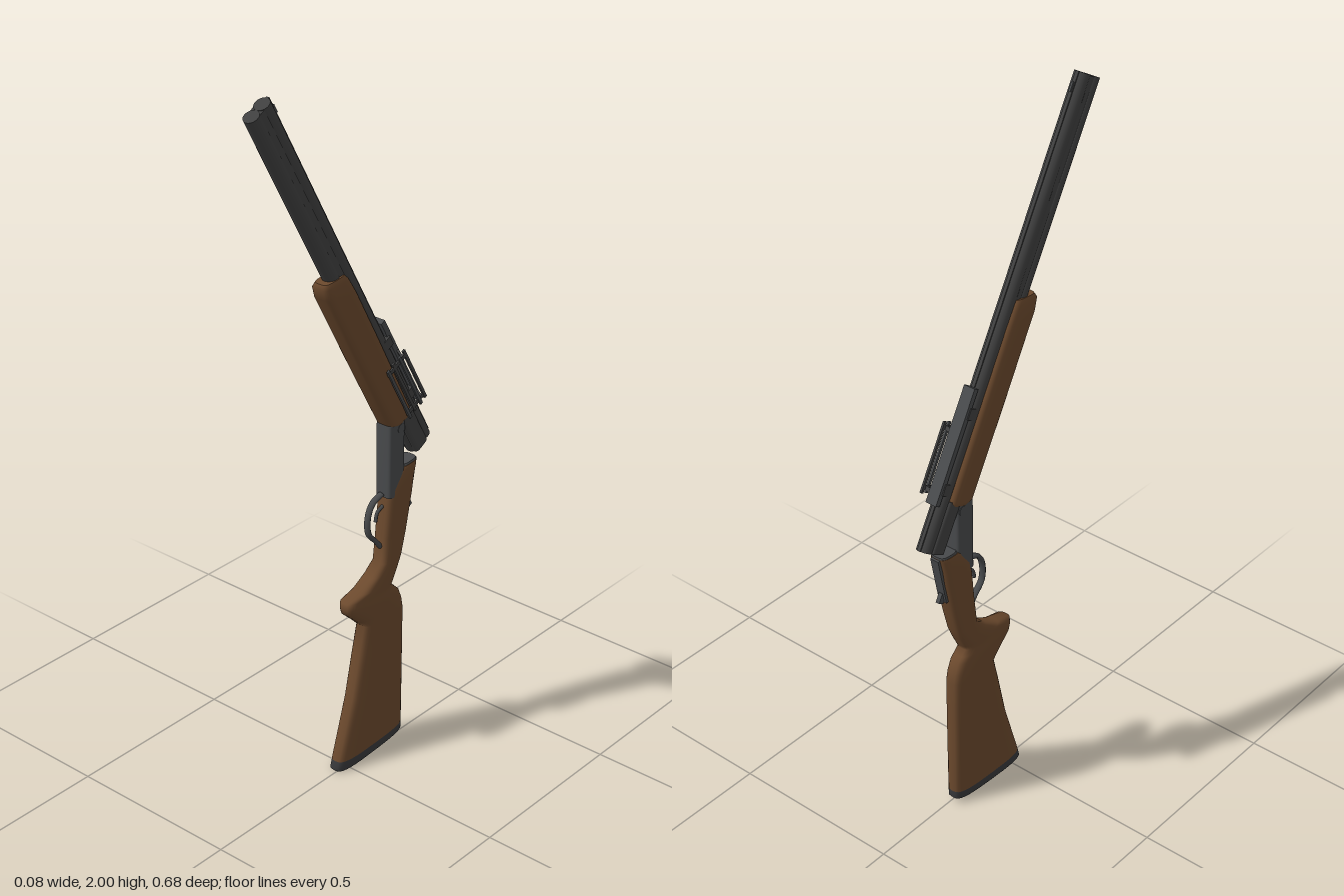
import * as THREE from 'three';

const mat = (name, hex) => {
  const m = new THREE.MeshStandardMaterial({ color: hex });
  m.name = name;
  return m;
};

// Loft of rounded sections, bottom to top: [zFront, yFront, zBack, yBack, halfWidth, exponent]
function loft(sections, n = 32) {
  const pos = [], idx = [];
  const ring = ([zf, yf, zb, yb, w, e = 0.6]) => {
    for (let j = 0; j < n; j++) {
      const t = (j / n) * Math.PI * 2, c = Math.cos(t), s = Math.sin(t);
      const k = Math.sign(c) * Math.abs(c) ** e;
      pos.push(w * Math.sign(s) * Math.abs(s) ** e,
        (yf + yb) / 2 + (k * (yf - yb)) / 2, (zf + zb) / 2 + (k * (zf - zb)) / 2);
    }
  };
  sections.forEach(ring);
  for (let i = 0; i < sections.length - 1; i++) {
    for (let j = 0; j < n; j++) {
      const a = i * n + j, b = i * n + ((j + 1) % n);
      idx.push(a, b, b + n, a, b + n, a + n);
    }
  }
  // flat end caps with their own vertices
  [[sections[0], false], [sections[sections.length - 1], true]].forEach(([s, top]) => {
    const start = pos.length / 3;
    ring(s);
    pos.push(0, (s[1] + s[3]) / 2, (s[0] + s[2]) / 2);
    for (let j = 0; j < n; j++) {
      const a = start + j, b = start + ((j + 1) % n);
      idx.push(start + n, top ? a : b, top ? b : a);
    }
  });
  const g = new THREE.BufferGeometry();
  g.setAttribute('position', new THREE.Float32BufferAttribute(pos, 3));
  g.setIndex(idx);
  g.computeVertexNormals();
  return g;
}

export function createModel() {
  const wood = mat('walnut wood', 0x6b492d);
  const steel = mat('barrel steel', 0x404040);
  const frame = mat('receiver steel', 0x484a4c);
  const rubber = mat('butt rubber', 0x38393b);

  const model = new THREE.Group();
  const body = new THREE.Group();
  body.name = 'gun';
  body.position.x = -0.007;
  model.add(body);

  const add = (parent, name, geo, material, x = 0, y = 0, z = 0) => {
    const m = new THREE.Mesh(geo, material);
    m.name = name;
    m.position.set(x, y, z);
    parent.add(m);
    return m;
  };
  const box = (parent, name, material, w, h, d, x, y, z) =>
    add(parent, name, new THREE.BoxGeometry(w, h, d), material, x, y, z);
  const tube = (parent, name, pts, r, material) => add(parent, name,
    new THREE.TubeGeometry(new THREE.CatmullRomCurve3(pts.map((p) => new THREE.Vector3(...p))), 32, r, 8), material);

  // Butt pad and stock
  add(body, 'buttPad', loft([
    [0.038, 0.004, -0.226, 0.02, 0.028],
    [0.043, 0.009, -0.229, 0.024, 0.031],
    [0.036, 0.034, -0.229, 0.046, 0.031],
  ]), rubber);
  add(body, 'stock', loft([
    [0.036, 0.034, -0.229, 0.046, 0.0315],
    [-0.02, 0.21, -0.229, 0.21, 0.0315],
    [-0.05, 0.34, -0.229, 0.34, 0.031],
    [-0.07, 0.42, -0.228, 0.42, 0.031],
    [-0.045, 0.445, -0.223, 0.45, 0.031],
    [-0.004, 0.483, -0.211, 0.48, 0.031],
    [0.001, 0.50, -0.195, 0.495, 0.03],
    [0.0, 0.52, -0.181, 0.51, 0.029],
    [-0.05, 0.53, -0.188, 0.525, 0.029],
    [-0.10, 0.557, -0.205, 0.56, 0.028],
    [-0.138, 0.585, -0.217, 0.59, 0.028],
    [-0.147, 0.66, -0.236, 0.66, 0.029],
    [-0.158, 0.77, -0.26, 0.77, 0.03],
    [-0.162, 0.80, -0.266, 0.81, 0.03],
    [-0.198, 0.846, -0.275, 0.848, 0.029],
    [-0.206, 0.852, -0.277, 0.857, 0.026],
  ]), wood);

  // Receiver, breech face, tang and top lever
  add(body, 'receiver', loft([
    [-0.156, 0.78, -0.219, 0.78, 0.027, 0.35],
    [-0.156, 0.99, -0.219, 0.99, 0.027, 0.35],
    [-0.164, 1.003, -0.212, 1.003, 0.025, 0.35],
  ]), frame);
  add(body, 'breechFace', loft([
    [-0.21, 0.852, -0.277, 0.857, 0.025],
    [-0.215, 0.858, -0.276, 0.862, 0.023],
  ]), frame);
  const tang = box(body, 'tang', frame, 0.026, 0.15, 0.012, 0, 0.782, -0.262);
  tang.rotation.x = -0.2;
  const lever = box(body, 'topLever', frame, 0.012, 0.028, 0.018, 0, 0.722, -0.259);
  lever.rotation.x = 0.5;

  // Trigger guard and trigger
  tube(body, 'triggerGuard', [[0, 0.79, -0.152], [0, 0.775, -0.115], [0, 0.74, -0.097],
    [0, 0.69, -0.1], [0, 0.655, -0.13], [0, 0.632, -0.148]], 0.007, frame).scale.x = 1.4;
  tube(body, 'trigger', [[0, 0.752, -0.158], [0, 0.74, -0.136], [0, 0.715, -0.128]], 0.005, frame);

  // Tipped barrel assembly: local y runs to the muzzle, local z to the underside
  const barrels = new THREE.Group();
  barrels.name = 'barrelAssembly';
  barrels.position.set(0, 0.915, -0.339);
  barrels.rotation.x = 0.51;
  body.add(barrels);

  const L = 1.242;
  [['upperBarrel', 0.022], ['lowerBarrel', 0.064]].forEach(([name, z]) =>
    add(barrels, name, new THREE.CylinderGeometry(0.021, 0.021, L, 32), steel, 0, L / 2, z));
  box(barrels, 'barrelWeb', steel, 0.034, L - 0.004, 0.04, 0, L / 2, 0.043);
  box(barrels, 'sightRib', steel, 0.01, L, 0.006, 0, L / 2, 0.001);
  box(barrels, 'frontSight', frame, 0.006, 0.025, 0.008, 0, L - 0.04, -0.003);
  add(barrels, 'breechBlock', loft([
    [0.08, 0, 0.028, 0, 0.026, 0.4], [0.08, 0.14, 0.028, 0.14, 0.026, 0.4],
  ]), steel);
  const pin = add(barrels, 'hingePin', new THREE.CylinderGeometry(0.014, 0.014, 0.056, 20), frame, 0, 0.12, 0.092);
  pin.rotation.z = Math.PI / 2;

  // Forend
  add(barrels, 'forend', loft([
    [0.105, 0.137, 0.045, 0.128, 0.028, 0.5],
    [0.12, 0.155, 0.034, 0.135, 0.033, 0.5],
    [0.121, 0.42, 0.028, 0.42, 0.033, 0.5],
    [0.12, 0.66, 0.026, 0.60, 0.032, 0.5],
    [0.114, 0.69, 0.028, 0.65, 0.029, 0.5],
    [0.102, 0.698, 0.033, 0.668, 0.023, 0.5],
  ]), wood);

  // Accessory rail
  box(barrels, 'rail', frame, 0.034, 0.31, 0.016, -0.001, 0.28, -0.009);
  for (let i = 0; i < 2; i++)
    box(barrels, 'railClamp', steel, 0.042, 0.03, 0.03, 0, 0.17 + i * 0.2, 0.008);

  // Side carrier on the left: slanted arms, outer frame and slats
  const carrier = new THREE.Group();
  carrier.name = 'sideCarrier';
  barrels.add(carrier);
  [0.155, 0.315].forEach((y) => {
    const arm = box(carrier, 'carrierArm', steel, 0.028, 0.012, 0.006, 0.027, y, -0.006);
    arm.rotation.y = -0.5;
    box(carrier, 'carrierCrossBar', steel, 0.005, 0.012, 0.08, 0.04, y, 0.026);
  });
  [-0.011, 0.012, 0.037, 0.062].forEach((z, i) =>
    box(carrier, 'carrierSlat', i % 2 ? frame : steel, 0.006, 0.19, 0.009, i % 2 ? 0.043 : 0.04, 0.235, z));

  return model;
}
